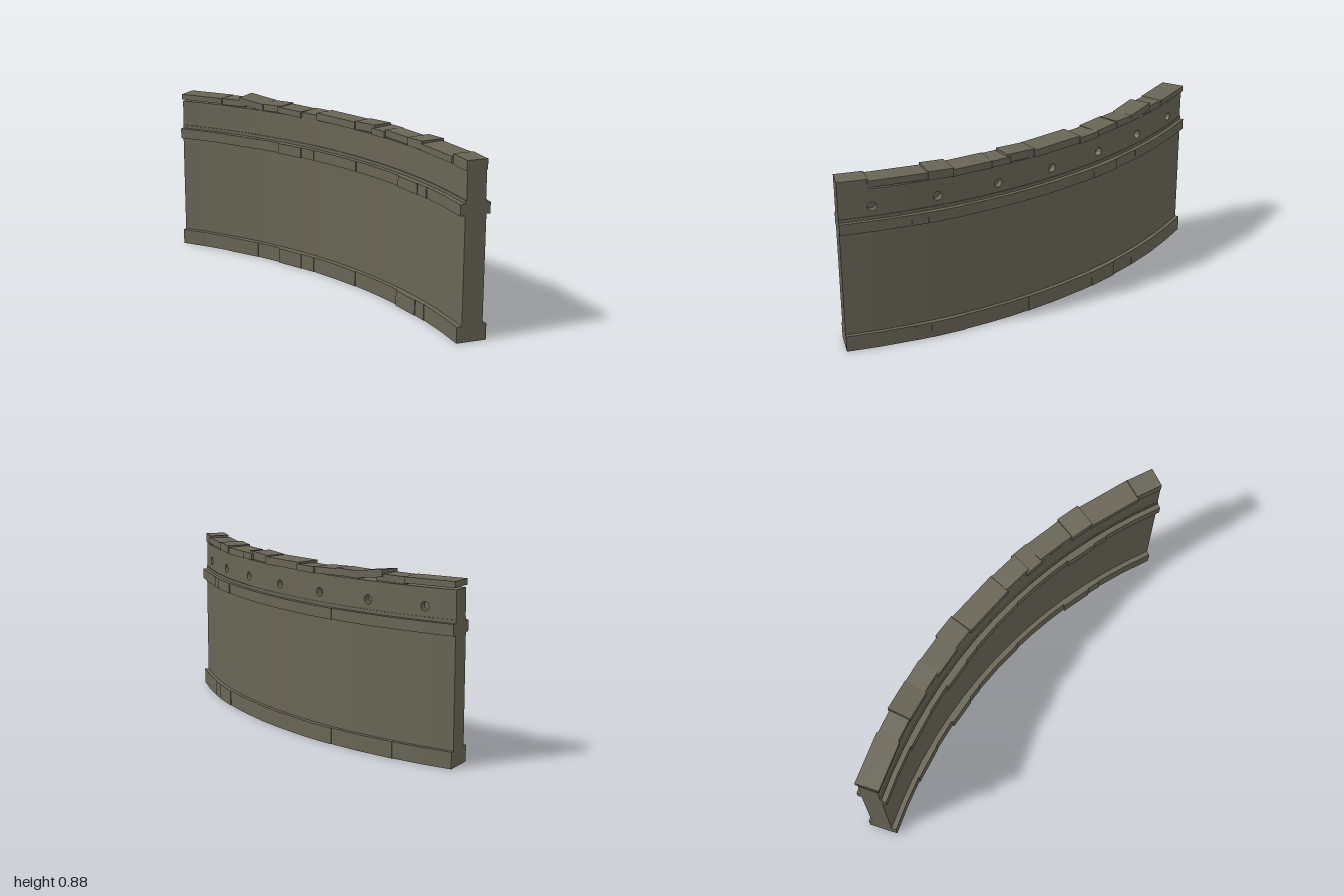
import * as THREE from 'three';

const CX = -2.291, Z0 = 1, SWEEP = 46.2; // arc centre and sweep in degrees
const rad = THREE.MathUtils.degToRad;
const stone = new THREE.MeshStandardMaterial({ color: 0x686556, flatShading: true });
stone.name = 'weathered stone';

// Moves every vertex by a rule giving [radius, y, angle in degrees]
function bend(geo, rule) {
  const p = geo.attributes.position;
  for (let i = 0; i < p.count; i++) {
    const [r, y, a] = rule(p.getX(i), p.getY(i), p.getZ(i));
    p.setXYZ(i, CX + r * Math.cos(rad(a)), y, Z0 - r * Math.sin(rad(a)));
  }
  geo.computeVertexNormals();
  return geo;
}

// Box bent along the wall from angle a0 to a1; tilt and roll lift its edges
function arcBlock(a0, a1, r0, r1, y0, y1, segs = 1, tilt = 0, roll = 0) {
  return bend(new THREE.BoxGeometry(1, 1, 1, 1, 1, segs), (x, y, z) => [
    r0 + (x + 0.5) * (r1 - r0),
    y0 + (y + 0.5) * (y1 - y0) - z * tilt + x * roll,
    a0 + (0.5 - z) * (a1 - a0),
  ]);
}

// Facing panel with an optional round socket
function panel(a, width, r0, r1, y0, y1, hole) {
  const R = (r0 + r1) / 2, w = rad(width) * R / 2;
  const s = new THREE.Shape();
  s.moveTo(-w, y0); s.lineTo(w, y0); s.lineTo(w, y1); s.lineTo(-w, y1); s.closePath();
  if (hole) {
    const h = new THREE.Path();
    h.absarc(0, 0.727, 0.022, 0, Math.PI * 2, true);
    s.holes.push(h);
  }
  const geo = new THREE.ExtrudeGeometry(s, { depth: r1 - r0, bevelEnabled: false, curveSegments: 6 });
  return bend(geo, (x, y, z) => [r0 + z, y, a + THREE.MathUtils.radToDeg(x / R)]);
}

export function createModel() {
  const group = new THREE.Group();
  const add = (name, geo) => {
    const m = new THREE.Mesh(geo, stone);
    m.name = name;
    group.add(m);
  };

  // Main curved wall and the ledge above the trim course
  add('wallBody', arcBlock(0, SWEEP, 2.646, 2.751, 0.04, 0.64, 16));
  add('ledge', arcBlock(0, SWEEP, 2.646, 2.751, 0.64, 0.68, 16));

  // Upper wall: solid core with socketed panels on the outer side
  add('parapetCore', arcBlock(0, SWEEP, 2.651, 2.716, 0.675, 0.815, 21));
  const step = SWEEP / 21;
  for (let i = 0; i < 21; i++) {
    add('parapetPanel', panel((i + 0.5) * step, step, 2.716, 2.747, 0.675, 0.815, i % 3 === 1));
  }

  // Base and trim courses share uneven joints: [start angle, protrusion]
  const courses = [
    [0, 0], [7.05, 0.004], [8.7, 0.009], [12.3, 0], [19.8, 0.004],
    [26.6, 0.007], [28.5, 0.012], [32, 0.002], [35.3, 0.005], [39.7, 0],
  ];
  courses.forEach(([a, out], i) => {
    const end = i + 1 < courses.length ? courses[i + 1][0] : SWEEP;
    const segs = Math.max(1, Math.round((end - a) / 3));
    add('baseBlock', arcBlock(a, end, 2.621 - out, 2.771 + out * 0.5, 0, 0.08, segs));
    add('trimBlock', arcBlock(a, end, 2.621 - out, 2.771 + out * 0.5, 0.61, 0.664, segs));
  });

  // Uneven capstones: [start, end, inner r, outer r, bottom, top, tilt, roll]
  const caps = [
    [0, 3.0, 2.648, 2.751, 0.815, 0.866, 0, 0],
    [2.9, 9.0, 2.638, 2.756, 0.822, 0.855, -0.003, 0.004],
    [8.9, 11.5, 2.640, 2.764, 0.820, 0.862, -0.005, 0],
    [11.4, 15.8, 2.650, 2.758, 0.818, 0.853, 0.003, -0.005],
    [15.7, 17.8, 2.640, 2.762, 0.818, 0.851, 0, 0.004],
    [17.5, 20.8, 2.650, 2.752, 0.820, 0.861, -0.006, 0],
    [20.7, 26.7, 2.642, 2.758, 0.817, 0.855, 0.003, -0.003],
    [26.6, 29.2, 2.650, 2.766, 0.815, 0.846, 0, 0.004],
    [29.1, 32.6, 2.640, 2.756, 0.818, 0.850, 0.005, 0],
    [32.3, 35.2, 2.650, 2.758, 0.820, 0.855, -0.003, 0.003],
    [34.8, 38.2, 2.642, 2.760, 0.828, 0.864, 0.020, 0.006],
    [37.4, 40.8, 2.648, 2.754, 0.820, 0.854, -0.003, 0],
    [40.7, 46.2, 2.640, 2.760, 0.825, 0.854, 0, 0],
  ];
  for (const c of caps) {
    const [a0, a1, r0, r1, y0, y1, tilt, roll] = c;
    add('capstone', arcBlock(a0, a1, r0, r1, y0, y1, 1, tilt, roll));
  }
  return group;
}
